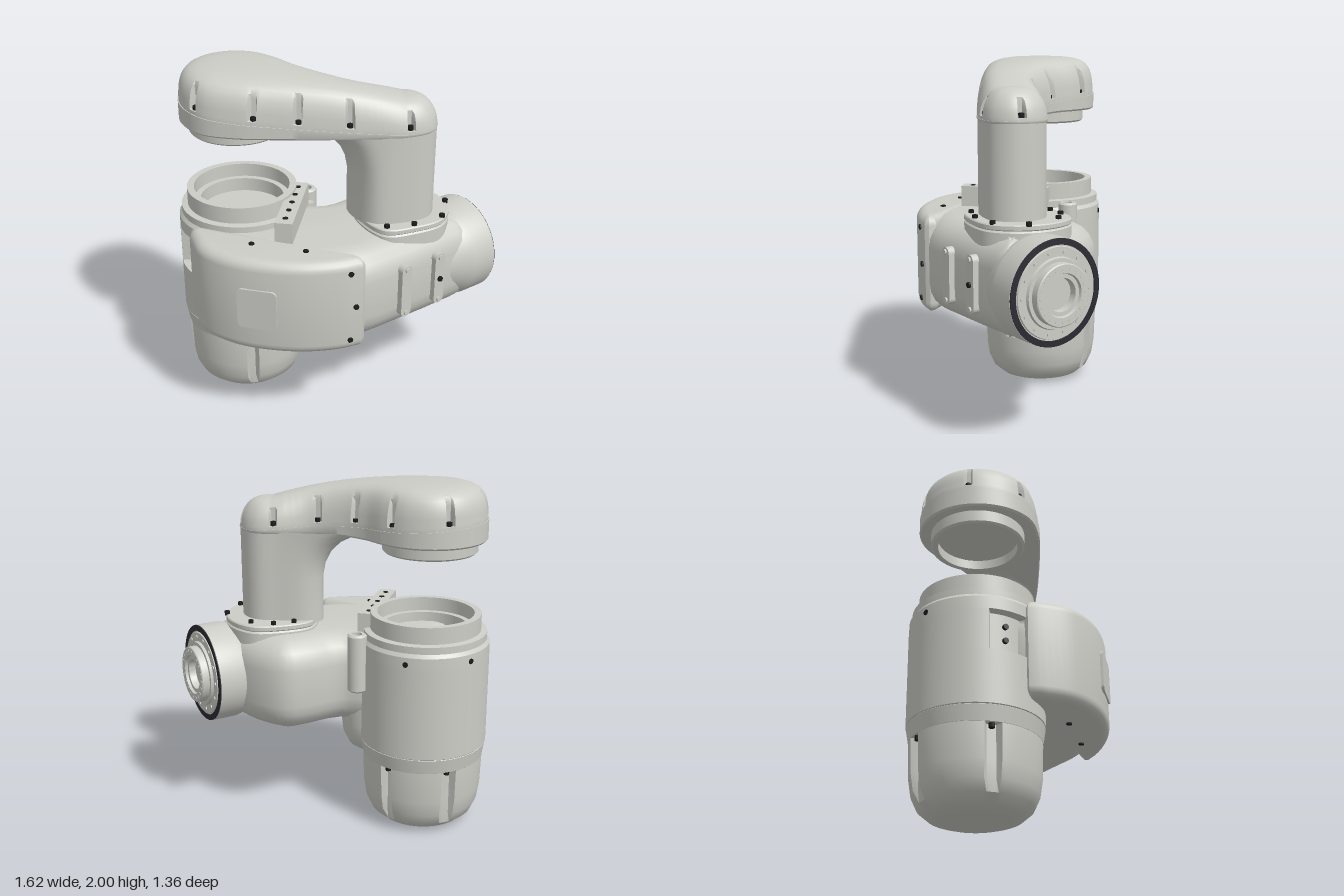
import * as THREE from 'three';
import { toCreasedNormals } from 'three/addons/utils/BufferGeometryUtils.js';

const mat = (name, color) => Object.assign(new THREE.MeshStandardMaterial({ color }), { name });
const V = (x, y, z) => new THREE.Vector3(x, y, z);
const rad = THREE.MathUtils.degToRad;

// Skin a stack of closed rings (counter-clockwise from above, bottom to top)
function loft(rings, crease = 0.55) {
  const n = rings[0].length, pos = [], idx = [];
  rings.forEach(r => r.forEach(p => pos.push(p.x, p.y, p.z)));
  for (let j = 0; j < rings.length - 1; j++) {
    for (let i = 0; i < n; i++) {
      const a = j * n + i, b = j * n + (i + 1) % n;
      idx.push(a, b, a + n, b, b + n, a + n);
    }
  }
  const g = new THREE.BufferGeometry();
  g.setAttribute('position', new THREE.Float32BufferAttribute(pos, 3));
  g.setIndex(idx);
  return toCreasedNormals(g, crease);
}

// Turned solid from [radius, y] pairs; cuts are grooves { angle, half, y0, y1, r }
function turned(profile, cuts = [], n = 72) {
  return loft(profile.map(([r, y]) => Array.from({ length: n }, (_, i) => {
    const deg = i * 360 / n;
    let q = r;
    for (const c of cuts) {
      const d = Math.abs(((deg - c.angle + 540) % 360 + 360) % 360 - 180);
      if (d <= c.half && y >= c.y0 && y <= c.y1) q = Math.min(q, c.r);
    }
    return V(q * Math.sin(rad(deg)), y, q * Math.cos(rad(deg)));
  })));
}

// Closed smooth curve through [x, z] points
const closedCurve = points => new THREE.CatmullRomCurve3(points.map(([x, z]) => V(x, 0, z)), true, 'centripetal');

// Upright slab with rounded rims from an [x, z] outline
function slab(points, y0, y1, bevel, smooth = true, segments = 5) {
  const pts = smooth ? closedCurve(points).getPoints(64).slice(0, -1).map(p => [p.x, p.z]) : points;
  const g = new THREE.ExtrudeGeometry(new THREE.Shape(pts.map(([x, z]) => new THREE.Vector2(x, -z))), {
    depth: y1 - y0 - 2 * bevel, bevelSize: bevel, bevelThickness: bevel,
    bevelOffset: -bevel, bevelSegments: segments,
  });
  g.rotateX(-Math.PI / 2).translate(0, y0 + bevel, 0);
  return toCreasedNormals(g, 0.6);
}

// Rounded rectangular plate facing +z
function plate(w, h, r, depth) {
  const s = new THREE.Shape();
  const a = w / 2 - r, b = h / 2 - r;
  s.absarc(a, b, r, 0, Math.PI / 2);
  s.absarc(-a, b, r, Math.PI / 2, Math.PI);
  s.absarc(-a, -b, r, Math.PI, Math.PI * 1.5);
  s.absarc(a, -b, r, Math.PI * 1.5, Math.PI * 2);
  return new THREE.ExtrudeGeometry(s, { depth, bevelEnabled: false, curveSegments: 6 });
}

export function createModel() {
  const model = new THREE.Group();
  const grey = mat('castingGrey', 0xcccdc6);
  const black = mat('boltBlack', 0x1c1c1d);
  const sealDark = mat('sealDark', 0x2b2b33);
  const add = (name, geo, material = grey, x = 0, y = 0, z = 0) => {
    const m = new THREE.Mesh(geo, material);
    m.name = name;
    m.position.set(x, y, z);
    model.add(m);
    return m;
  };
  const boltGeo = new THREE.CylinderGeometry(0.016, 0.016, 0.025, 8);
  const bolt = (x, y, z, dir = V(0, 1, 0)) =>
    add('bolt', boltGeo, black, x, y, z).quaternion.setFromUnitVectors(V(0, 1, 0), dir.normalize());

  // Motor housing: grooved lower cover and upper barrel
  const cx = -0.345, cz = -0.312;
  const grooves = [-27, 111, 172, 250].map(angle => ({ angle, half: 5, y0: 0.05, y1: 0.41, r: 0.308 }));
  add('motorCover', turned([[0, 0], [0.19, 0.002], [0.25, 0.022], [0.3, 0.065], [0.33, 0.13], [0.344, 0.22],
    [0.35, 0.4], [0.35, 0.41], [0.351, 0.411], [0.365, 0.495], [0.36, 0.5]], grooves, 120), grey, cx, 0, cz);
  for (const { angle } of grooves) bolt(cx + 0.326 * Math.sin(rad(angle)), 0.398, cz + 0.326 * Math.cos(rad(angle)));
  add('motorBarrel', turned([[0.36, 0.495], [0.367, 0.502], [0.367, 0.799], [0.367, 0.8], [0.367, 1.03],
    [0.367, 1.031], [0.365, 1.1], [0.35, 1.12], [0.35, 1.16], [0.315, 1.165], [0.315, 1.26], [0.275, 1.26],
    [0.275, 1.18], [0.24, 1.18], [0.24, 1.1], [0, 1.1]],
    [{ angle: -95, half: 18, y0: 0.8, y1: 1.03, r: 0.315 }], 120), grey, cx, 0, cz);
  for (const y of [0.88, 0.96]) bolt(cx - 0.318, y, cz - 0.035, V(-1, 0, -0.1));
  for (const a of [190, 130]) {
    const d = V(Math.sin(rad(a)), 0, Math.cos(rad(a)));
    bolt(cx + d.x * 0.358, 1.06, cz + d.z * 0.358, d);
  }

  // Lug under the elbow casting
  add('housingLug', turned([[0, 0.36], [0.1, 0.37], [0.16, 0.41], [0.195, 0.48], [0.205, 0.56], [0.205, 0.7]]), grey, -0.17, 0, -0.065);
  bolt(-0.18, 0.4, 0.085);

  // Clamp bar beside the open ring
  const bar = add('clampBar', new THREE.BoxGeometry(0.52, 0.13, 0.1), grey, -0.23, 1.18, 0.03);
  bar.rotation.y = Math.PI / 4;
  for (let i = -2; i <= 2; i++) bolt(-0.23 + i * 0.07, 1.235, 0.03 - i * 0.07);

  // Elbow casting
  add('elbowBody', slab([[-0.72, -0.2], [-0.77, -0.02], [-0.73, 0.14], [-0.65, 0.28], [-0.48, 0.45], [-0.3, 0.56],
    [-0.14, 0.61], [0.1, 0.62], [0.45, 0.62], [0.6, 0.6], [0.63, 0.4], [0.58, 0.1], [0.45, -0.1], [0.28, -0.13],
    [0.1, -0.13], [0, -0.2], [-0.2, -0.32], [-0.5, -0.34]], 0.575, 1.125, 0.17));
  // Curved outer cover on the elbow
  const arc = new THREE.CatmullRomCurve3([[-0.765, -0.2], [-0.81, -0.02], [-0.78, 0.13], [-0.69, 0.29], [-0.5, 0.48],
    [-0.3, 0.59], [-0.18, 0.62]].map(([x, z]) => V(x, 0, z))).getPoints(28).map(p => [p.x, p.z]);
  add('elbowCover', slab([...arc, [-0.155, 0.605], [-0.15, 0.56], [-0.67, -0.23], [-0.73, -0.25]], 0.57, 1.135, 0.06, false));
  for (const [x, y, z] of [[-0.25, 1.06, 0.6], [-0.22, 0.85, 0.61], [-0.25, 0.645, 0.6]]) bolt(x, y, z, V(-0.25, 0, 1));
  for (const [x, z] of [[-0.57, 0.135], [-0.38, 0.375]]) {
    for (const y of [0.575, 1.13]) bolt(x, y, z);
  }
  const panel = add('coverPanel', plate(0.22, 0.24, 0.03, 0.015), grey, -0.66, 0.85, 0.317);
  panel.rotation.y = rad(-50);

  // Front strips
  for (const x of [0.1, 0.34]) {
    add('frontStrip', plate(0.07, 0.32, 0.035, 0.06), grey, x, 0.85, 0.595);
    for (const y of [0.715, 0.985]) add('stripStud', plate(0.03, 0.03, 0.015, 0.01), grey, x, y, 0.655);
  }
  bolt(0.34, 0.85, 0.655, V(0, 0, 1));

  // Small vertical tube behind the elbow
  add('cableTube', turned([[0, 0.82], [0.045, 0.82], [0.055, 0.83], [0.055, 1.15], [0.045, 1.16], [0.028, 1.16],
    [0.028, 1.12], [0, 1.12]], [], 24), grey, 0.05, 0, -0.22);
  add('tubeBracket', new THREE.BoxGeometry(0.1, 0.2, 0.12), grey, -0.01, 1.0, -0.19);

  // Side joint, turned about the x axis
  const joint = (name, profile, m = grey) =>
    add(name, turned(profile).rotateZ(-Math.PI / 2), m, 0, 0.852, 0.395);
  joint('jointBarrel', [[0, 0.2], [0.2, 0.22], [0.225, 0.45], [0.275, 0.56], [0.285, 0.6], [0.285, 0.742], [0, 0.742]]);
  joint('jointSeal', [[0.284, 0.738], [0.283, 0.746], [0.25, 0.748], [0.25, 0.74]], sealDark);
  joint('jointFlange', [[0.245, 0.738], [0.24, 0.75], [0.19, 0.75], [0.185, 0.765], [0.165, 0.765], [0.165, 0.805],
    [0.16, 0.81], [0.115, 0.81], [0.11, 0.795], [0.088, 0.795], [0.085, 0.755], [0, 0.755]]);
  const studGeo = new THREE.CylinderGeometry(0.011, 0.011, 0.012, 8).rotateZ(-Math.PI / 2);
  for (const [count, r, x] of [[14, 0.215, 0.75], [20, 0.14, 0.806]]) {
    for (let i = 0; i < count; i++) {
      const a = i * Math.PI * 2 / count;
      add('flangeStud', studGeo, grey, x, 0.852 + r * Math.sin(a), 0.395 + r * Math.cos(a));
    }
  }

  // Column flange with bolts
  const foot = [[0.04, 0.42], [0.07, 0.51], [0.2, 0.565], [0.4, 0.585], [0.54, 0.48], [0.59, 0.31], [0.53, 0.13],
    [0.4, 0.07], [0.2, 0.06], [0.08, 0.2]];
  add('columnPedestal', slab(foot, 0.98, 1.145, 0.01, true, 1));
  add('columnFlange', slab(foot, 1.145, 1.178, 0.006, true, 1));
  for (const [x, z] of [[0.09, 0.48], [0.23, 0.545], [0.42, 0.56], [0.56, 0.43], [0.51, 0.2], [0.41, 0.11], [0.29, 0.09]])
    bolt(x, 1.183, z);

  // Column flaring into the arm
  const section = closedCurve([[0.06, 0.4], [0.2, 0.488], [0.35, 0.513], [0.445, 0.45], [0.478, 0.34], [0.45, 0.245],
    [0.355, 0.17], [0.21, 0.085], [0.11, 0.095], [0.045, 0.21]]).getSpacedPoints(72).slice(0, -1);
  add('column', loft([[1.16, 0], [1.2, 0], [1.42, 0], [1.5, 0.015], [1.57, 0.05], [1.63, 0.11], [1.67, 0.19], [1.695, 0.27]]
    .map(([y, f]) => section.map(p => {
      const push = f * THREE.MathUtils.clamp(((0.26 - p.x) * 0.75 + (0.29 - p.z) * 0.66) / 0.22, 0, 1);
      return V(p.x - push * 0.75, y, p.z - push * 0.66);
    })), 0.8));

  // Arm: kidney outline shrunk toward its spine, layer by layer
  const outline = closedCurve([[-0.35, -0.642], [-0.5, -0.605], [-0.618, -0.5], [-0.682, -0.34],
    [-0.665, -0.17], [-0.55, -0.02], [-0.4, 0.1], [-0.2, 0.245], [0, 0.38], [0.2, 0.495], [0.35, 0.518], [0.45, 0.45],
    [0.482, 0.34], [0.455, 0.24], [0.36, 0.165], [0.18, 0.08], [0.07, -0.05], [0, -0.2], [-0.025, -0.35], [-0.085, -0.5],
    [-0.2, -0.605]]).getSpacedPoints(280).slice(0, -1);
  const spine = new THREE.CatmullRomCurve3([V(-0.36, 0, -0.32), V(-0.25, 0, -0.12), V(-0.06, 0, 0.12), V(0.29, 0, 0.34)])
    .getSpacedPoints(100);
  const near = (list, p) => list.reduce((b, q, i) => q.distanceToSquared(p) < list[b].distanceToSquared(p) ? i : b, 0);
  const rim = outline.map(p => {
    const i = near(spine, p), c = spine[i];
    return { c, t: i / 100, d: p.distanceTo(c), dir: p.clone().sub(c).normalize(), slot: false,
      seam: Math.max(1.74 - (p.x + p.z) * 0.055, 1.7) };
  });
  const layer = (dist, y) => rim.map(o => {
    const q = o.c.clone().addScaledVector(o.dir, dist(o));
    return V(q.x, y(o), q.z);
  });
  add('armBase', loft([layer(() => 0, () => 1.685), layer(o => o.d * 0.97, () => 1.685), layer(o => o.d, () => 1.695),
    layer(o => o.d, o => o.seam), layer(o => o.d * 0.9, o => o.seam)]));

  // Arm cover with screw slots around its rim
  for (const [x, z] of [[-0.58, -0.54], [-0.28, -0.61], [-0.06, -0.4], [0.01, -0.13], [0.14, 0.06], [0.35, 0.21],
    [0.44, 0.4], [0.23, 0.46], [-0.05, 0.33], [-0.28, 0.17], [-0.47, 0.01], [-0.66, -0.24]]) {
    const i = near(outline, V(x, 0, z)), n = rim.length;
    for (let k = -1; k <= 1; k++) rim[(i + k + n) % n].slot = true;
    const o = rim[i], q = o.c.clone().addScaledVector(o.dir, o.d - 0.028);
    bolt(q.x, o.seam + 0.03, q.z);
  }
  const dome = [[0.985, 0], [0.985, 0.1], [0.984, 0.11], [0.975, 0.3], [0.96, 0.45], [0.93, 0.6], [0.89, 0.72], [0.83, 0.82],
    [0.75, 0.89], [0.63, 0.945], [0.45, 0.98], [0.22, 0.995], [0, 1]];
  add('armCover', loft(dome.map(([k, h]) => layer(
    o => {
      const r = k * o.d * (1 - 0.28 * o.t * h * h);
      return o.slot && h > 0.105 ? Math.min(r, o.d - 0.045) : r;
    },
    o => o.seam + (2 - 0.13 * o.t * o.t - o.seam) * h))));

  // Open mounting ring under the arm head
  add('headRing', turned([[0, 1.665], [0.225, 1.665], [0.225, 1.61], [0.255, 1.61], [0.266, 1.62], [0.266, 1.69]]),
    grey, -0.36, 0, -0.315);

  return model;
}
